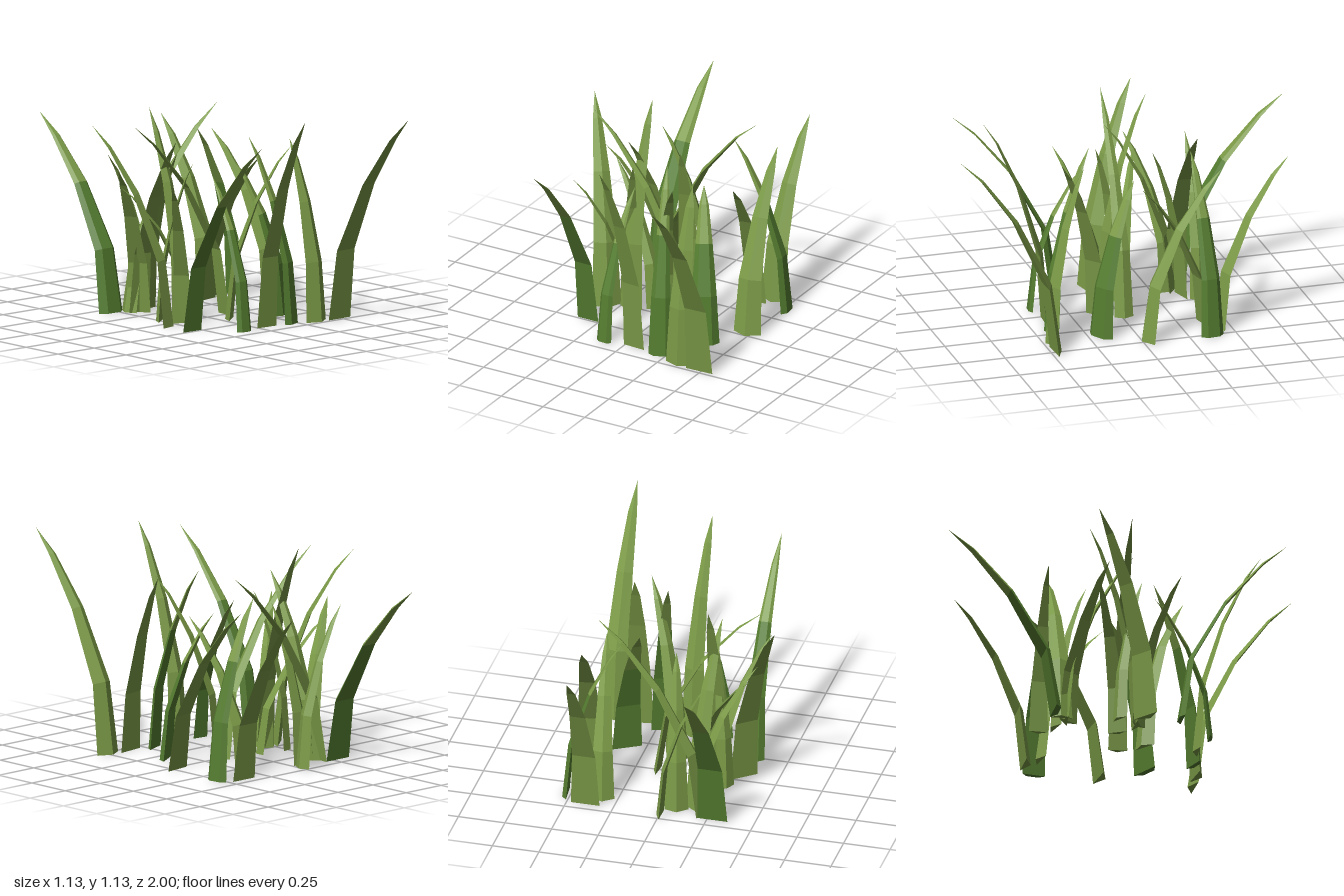
import * as THREE from 'three';

// Growth profile, base to tip: [height, outward bend, width], all as fractions
const PROFILE = [
  [0, 0, 1],
  [0.33, 0.09, 0.82],
  [0.66, 0.42, 0.56],
  [0.89, 0.77, 0.31],
  [1, 1, 0],
];

// Blade kinds; each blade is [rootX, rootZ, tipX, tipY, tipZ]
const KINDS = [
  {
    name: 'slenderBlade', width: 0.1, twoTone: false,
    blades: [
      [-0.01, -0.46, -0.28, 0.83, -0.465],
      [-0.09, -0.06, -0.42, 0.72, -0.23],
      [-0.2, 0.03, -0.425, 0.77, 0.21],
      [-0.25, -0.08, -0.15, 0.84, 0.06],
      [0.125, -0.01, -0.455, 1.055, -0.06],
    ],
  },
  {
    name: 'mediumBlade', width: 0.125, twoTone: false,
    blades: [
      [0.055, 0.405, 0.035, 1.13, 0.73],
      [0.06, 0.12, 0.265, 0.935, 0.37],
      [0.33, -0.37, 0.395, 0.8, -0.03],
      [-0.07, -0.38, -0.025, 0.835, -0.21],
      [-0.2, -0.385, 0.365, 1.045, -0.335],
      [-0.17, -0.34, -0.455, 0.8, -0.18],
      [-0.17, -0.34, -0.215, 0.95, 0],
      [-0.19, 0.01, -0.2, 1.1, -0.23],
    ],
  },
  {
    name: 'broadBlade', width: 0.153, twoTone: false,
    blades: [
      [0.49, 0.48, 0.51, 1.12, 1],
      [0.355, 0.45, 0.33, 0.94, 0.27],
      [0.4, -0.45, 0.4, 0.91, -0.82],
      [0.48, -0.035, 0.42, 0.885, -0.45],
      [-0.32, 0.04, -0.565, 1.045, -0.26],
    ],
  },
  {
    name: 'slenderTwoToneBlade', width: 0.09, twoTone: true,
    blades: [[-0.115, 0.42, -0.09, 0.78, 0.14]],
  },
  {
    name: 'mediumTwoToneBlade', width: 0.123, twoTone: true,
    blades: [
      [-0.315, 0.24, -0.32, 1.04, 0.79],
      [0.215, 0.41, 0.125, 0.965, 0.18],
      [0.515, -0.37, 0.225, 0.925, -0.34],
    ],
  },
  {
    name: 'broadTwoToneBlade', width: 0.16, twoTone: true,
    blades: [
      [0.345, 0.18, 0.22, 0.79, -0.035],
      [-0.28, -0.44, -0.28, 0.98, -1],
    ],
  },
];

// Solid blade: flat underside, raised keel (two-tone blades have a flat-topped keel)
function bladeGeometry([bx, bz, tx, ty, tz], width, twoTone) {
  const base = new THREE.Vector3(bx, 0, bz);
  const reach = Math.hypot(tx - bx, tz - bz);
  const out = new THREE.Vector3(tx - bx, 0, tz - bz).normalize();
  const up = new THREE.Vector3(0, 1, 0);
  const side = up.clone().cross(out);
  const section = twoTone
    ? [[0.5, 0], [0.27, 0.2], [-0.27, 0.2], [-0.5, 0]]
    : [[0.5, 0], [0, 0.26], [-0.5, 0]];

  const centre = ([h, b]) => base.clone().addScaledVector(up, h * ty).addScaledVector(out, b * reach);
  const rings = PROFILE.map((row, i) => {
    const c = centre(row);
    const prev = PROFILE[Math.max(i - 1, 0)];
    const next = PROFILE[Math.min(i + 1, PROFILE.length - 1)];
    const t = centre(next).sub(centre(prev)).normalize();
    // the root section lies flat on the ground
    const normal = i === 0 ? out.clone().negate() : t.cross(side);
    return section.map(([s, n]) => c.clone()
      .addScaledVector(side, s * row[2] * width)
      .addScaledVector(normal, n * row[2] * width));
  });

  const points = [];
  const n = section.length;
  // closed base
  for (let j = 1; j < n - 1; j++) points.push(rings[0][0], rings[0][j + 1], rings[0][j]);
  // walls, narrowing to a point
  let split = 0;
  for (let i = 0; i < rings.length - 1; i++) {
    if (i === 2) split = points.length;
    for (let j = 0; j < n; j++) {
      const k = (j + 1) % n;
      const a = rings[i][j], b = rings[i][k], c = rings[i + 1][k], d = rings[i + 1][j];
      points.push(a, b, c);
      if (i < rings.length - 2) points.push(a, c, d);
    }
  }
  const geometry = new THREE.BufferGeometry().setFromPoints(points);
  // lower half, then upper half
  geometry.addGroup(0, split, twoTone ? 1 : 0);
  geometry.addGroup(split, points.length - split, 0);
  geometry.computeVertexNormals();
  return geometry;
}

export function createModel() {
  const olive = new THREE.MeshStandardMaterial({ color: 0x7b9a47 });
  olive.name = 'olive green';
  const leaf = new THREE.MeshStandardMaterial({ color: 0x557d30 });
  leaf.name = 'leaf green';

  const grass = new THREE.Group();
  grass.name = 'grassTuft';
  for (const { name, width, twoTone, blades } of KINDS) {
    blades.forEach((blade, i) => {
      const mesh = new THREE.Mesh(bladeGeometry(blade, width, twoTone), [olive, leaf]);
      mesh.name = `${name}${i + 1}`;
      grass.add(mesh);
    });
  }
  return grass;
}
